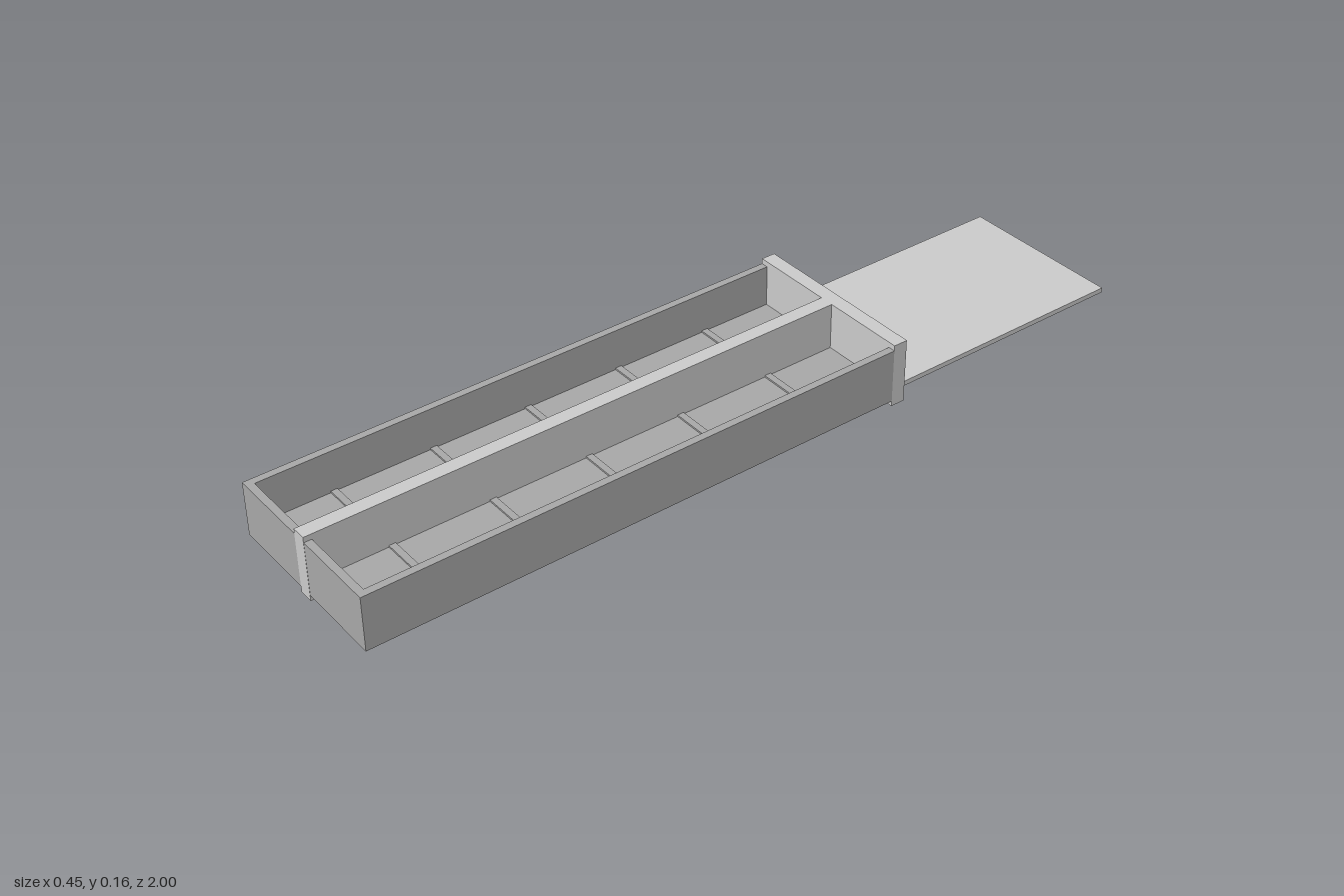
import * as THREE from 'three';

export function createModel() {
  const model = new THREE.Group();
  const light = new THREE.MeshStandardMaterial({ color: 0xcccccc });
  const dark = new THREE.MeshStandardMaterial({ color: 0xa8a8a8 });

  // box given by its min and max corners
  function slab(name, material, [x0, y0, z0], [x1, y1, z1]) {
    const mesh = new THREE.Mesh(new THREE.BoxGeometry(x1 - x0, y1 - y0, z1 - z0), material);
    mesh.position.set((x0 + x1) / 2, (y0 + y1) / 2, (z0 + z1) / 2);
    mesh.name = name;
    model.add(mesh);
  }

  const W = 0.225, T = 0.018, BACK = -0.33, Y0 = 0.013, Y1 = 0.145;
  const inner = W - T;

  // tray walls
  slab('leftWall', dark, [inner, Y0, BACK], [W, Y1, 1]);
  slab('rightWall', dark, [-W, Y0, BACK], [-inner, Y1, 1]);
  slab('frontWall', dark, [-inner, Y0, 1 - T], [inner, Y1, 1]);

  // thin floor with cross slats in both compartments
  slab('floor', dark, [-inner, 0.038, BACK], [inner, 0.044, 1 - T]);
  for (let i = -2; i <= 2; i++) {
    const z = 0.33 + i * 0.24;
    slab('floorSlat', dark, [-inner, 0.034, z - 0.008], [inner, 0.048, z + 0.008]);
  }

  // taller T-shaped frame: middle divider and back board
  slab('divider', light, [-0.0175, 0, BACK], [0.0175, 0.158, 1.0005]);
  slab('backBoard', light, [-W, 0, -0.365], [W, 0.158, BACK]);

  // sliding panel, drawn halfway out under the floor
  slab('slidingPanel', light, [-0.205, 0.02, -1], [0.205, 0.032, 0.32]);

  return model;
}
